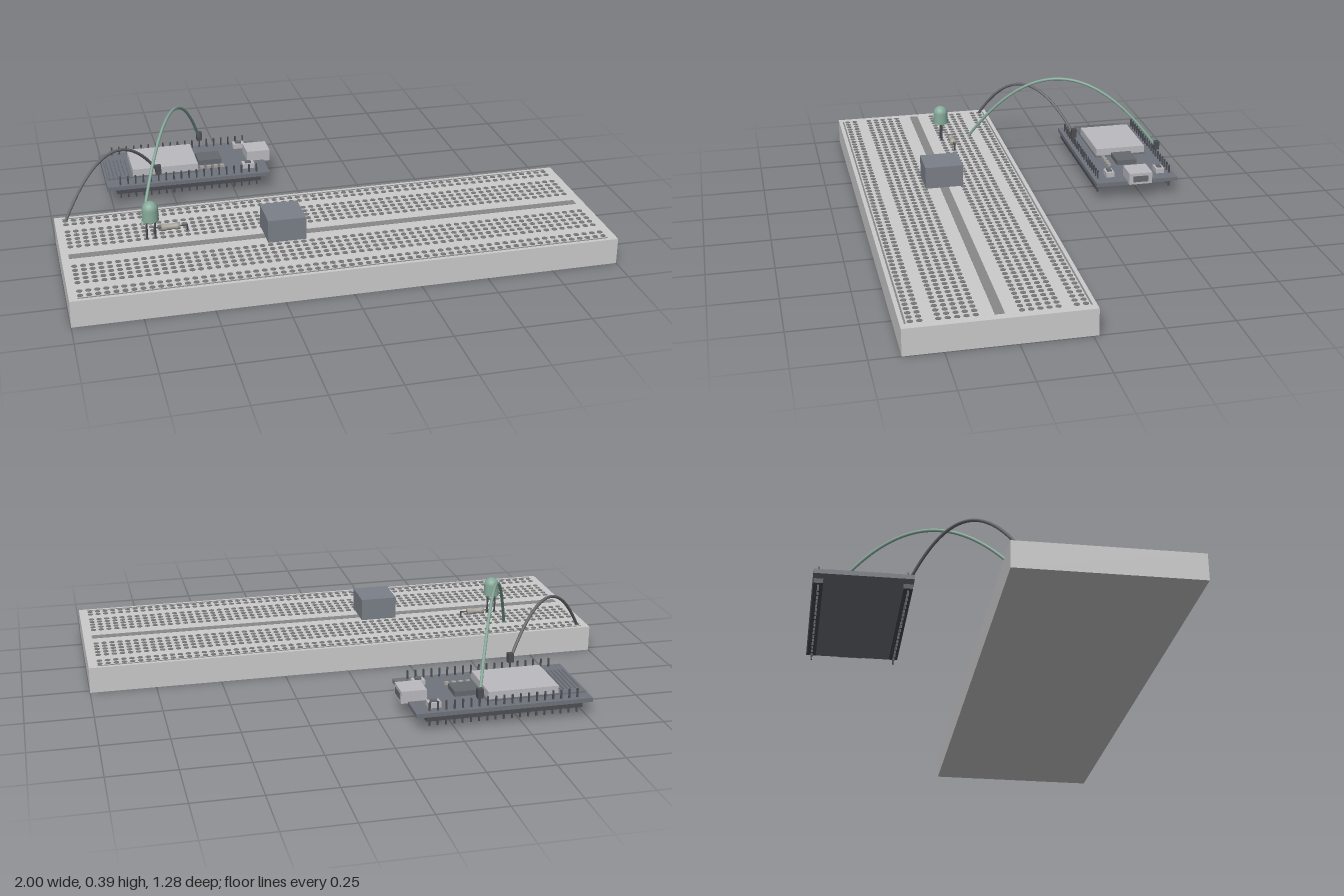
import * as THREE from 'three';
import { mergeGeometries } from 'three/addons/utils/BufferGeometryUtils.js';

const mat = (color) => new THREE.MeshStandardMaterial({ color });
const MATS = {
  body: mat(0xcccccc), hole: mat(0x777777), groove: mat(0x888888), board: mat(0x70747c),
  dark: mat(0x4c4e54), metal: mat(0xbbbbc0), chip: mat(0x666a70), box: mat(0x7b8088),
  green: mat(0x86aa9a), black: mat(0x6a6a6e), tan: mat(0xa8a49c),
};
const PITCH = 0.0309;
const TOP = 0.1; // breadboard surface
const MID = 0.31; // breadboard centre line in z
const PCB = 0.072; // controller board surface

// Box geometry from its extents
function span(x0, x1, y0, y1, z0, z1) {
  return new THREE.BoxGeometry(x1 - x0, y1 - y0, z1 - z0)
    .translate((x0 + x1) / 2, (y0 + y1) / 2, (z0 + z1) / 2);
}
// Upright round rod
function rod(r, x, y0, y1, z, sides = 8) {
  return new THREE.CylinderGeometry(r, r, y1 - y0, sides).translate(x, (y0 + y1) / 2, z);
}
function add(group, name, geos, material) {
  const list = Array.isArray(geos) ? geos : [geos];
  const mesh = new THREE.Mesh(list.length > 1 ? mergeGeometries(list) : list[0], material);
  mesh.name = name;
  group.add(mesh);
}
function part(root, name) {
  const g = new THREE.Group();
  g.name = name;
  root.add(g);
  return g;
}

function breadboard(root) {
  const g = part(root, 'breadboard');
  add(g, 'boardBody', span(-1, 1, 0, TOP, -0.02, 0.64), MATS.body);
  add(g, 'centreChannel', span(-0.973, 0.967, TOP - 0.01, TOP + 0.001, 0.292, 0.326), MATS.groove);

  // Rows of contacts, mirrored about the centre line
  const offsets = [0.077, 0.108, 0.139, 0.17, 0.201, 0.263, 0.294];
  const holes = [];
  for (const off of offsets) for (const s of [-1, 1]) for (let i = 0; i < 63; i++) {
    holes.push(rod(0.0105, -0.96 + i * PITCH, TOP - 0.002, TOP + 0.002, MID + s * off));
  }
  add(g, 'contactHoles', holes, MATS.hole);

  // Thin lines along the power rails
  const stripes = [];
  for (const s of [-1, 1]) {
    const z = MID + s * 0.312;
    stripes.push(span(-0.97, 0.967, TOP - 0.002, TOP + 0.001, z - 0.003, z + 0.003));
  }
  add(g, 'railStripes', stripes, MATS.groove);
}

function controller(root) {
  const g = part(root, 'controllerBoard');
  add(g, 'circuitBoard', span(-0.767, -0.104, 0.056, PCB, -0.645, -0.306), MATS.board);

  // Pin headers on both long edges
  const strips = [], pins = [], pads = [];
  for (const z of [-0.626, -0.324]) {
    strips.push(span(-0.729, -0.141, 0.039, 0.056, z - 0.016, z + 0.016));
    for (let i = -9; i <= 9; i++) {
      const x = -0.435 + i * PITCH;
      pins.push(span(x - 0.003, x + 0.003, 0.015, 0.107, z - 0.003, z + 0.003));
      pads.push(rod(0.007, x, PCB, PCB + 0.001, z));
    }
  }
  add(g, 'headerStrips', strips, MATS.dark);
  add(g, 'headerPins', pins, MATS.dark);
  add(g, 'solderPads', pads, MATS.board);

  // Radio module with shield can and antenna traces
  add(g, 'moduleBase', span(-0.757, -0.382, PCB, 0.078, -0.592, -0.376), MATS.board);
  add(g, 'shieldCan', span(-0.655, -0.388, 0.078, 0.107, -0.588, -0.38), MATS.metal);
  const traces = [];
  for (let i = 0; i < 6; i++) {
    const x = -0.748 + i * 0.0155;
    traces.push(span(x - 0.002, x + 0.002, 0.078, 0.08, -0.555, -0.378));
  }
  add(g, 'antennaTraces', traces, MATS.chip);

  add(g, 'chip', span(-0.377, -0.28, PCB, 0.092, -0.524, -0.44), MATS.chip);
  const small = [];
  for (let i = 0; i < 4; i++) {
    const x = -0.368 + i * 0.028;
    small.push(span(x - 0.008, x + 0.008, PCB, 0.082, -0.412, -0.399));
  }
  add(g, 'smallComponents', small, MATS.tan);

  // Connector with its recessed mouth
  add(g, 'usbSocket', span(-0.174, -0.078, 0.066, 0.113, -0.53, -0.435), MATS.metal);
  add(g, 'usbOpening', span(-0.08, -0.076, 0.076, 0.101, -0.513, -0.452), MATS.chip);

  for (const z of [-0.588, -0.378]) {
    add(g, 'buttonBase', span(-0.206, -0.158, PCB, 0.092, z - 0.017, z + 0.017), MATS.metal);
    add(g, 'buttonCap', span(-0.194, -0.17, 0.092, 0.098, z - 0.009, z + 0.009), MATS.chip);
  }
}

function lamp(root) {
  const g = part(root, 'lamp');
  const x = -0.665, z = 0.235;
  const profile = [new THREE.Vector2(0, 0.177), new THREE.Vector2(0.031, 0.177), new THREE.Vector2(0.031, 0.177)];
  for (let i = 0; i <= 8; i++) {
    const a = (i / 8) * Math.PI / 2;
    profile.push(new THREE.Vector2(0.03 * Math.cos(a), 0.22 + 0.031 * Math.sin(a)));
  }
  add(g, 'lampDome', new THREE.LatheGeometry(profile, 24).translate(x, 0, z), MATS.green);
  add(g, 'lampLegs', [-1, 1].map((s) => rod(0.004, x + s * PITCH / 2, 0.09, 0.18, z)), MATS.dark);
}

function resistor(root) {
  const g = part(root, 'resistor');
  const x = -0.587, y = 0.124, z = 0.2;
  // Dog-bone body lying along x
  const pts = [[0, -0.036], [0.013, -0.034], [0.014, -0.02], [0.011, -0.014],
    [0.011, 0.014], [0.014, 0.02], [0.013, 0.034], [0, 0.036]].map((p) => new THREE.Vector2(...p));
  add(g, 'resistorBody', new THREE.LatheGeometry(pts, 16).rotateZ(-Math.PI / 2).translate(x, y, z), MATS.tan);
  const leads = [new THREE.CylinderGeometry(0.003, 0.003, 4 * PITCH, 8).rotateZ(Math.PI / 2).translate(x, y, z)];
  for (const s of [-1, 1]) leads.push(rod(0.003, x + s * 2 * PITCH, 0.09, y + 0.003, z));
  add(g, 'resistorLeads', leads, MATS.dark);
}

function sensorBox(root) {
  const g = part(root, 'squareModule');
  add(g, 'moduleBox', span(-0.258, -0.116, 0.108, 0.195, 0.237, 0.385), MATS.box);
  const legs = [];
  for (const x of [-0.218, -0.156]) for (const z of [0.265, 0.357]) legs.push(rod(0.004, x, 0.09, 0.11, z));
  add(g, 'moduleLegs', legs, MATS.dark);
}

// Arched wire ending in a plug on a header pin
function jumper(root, name, from, to, peak, material) {
  const g = part(root, name);
  const a = new THREE.Vector3(...from), b = new THREE.Vector3(...to);
  const c = a.clone().add(b).multiplyScalar(0.5);
  c.y = 2 * peak - (a.y + b.y) / 2;
  const curve = new THREE.QuadraticBezierCurve3(a, c, b);
  add(g, 'wire', new THREE.TubeGeometry(curve, 48, 0.006, 8), material);
  add(g, 'plug', span(b.x - 0.011, b.x + 0.011, 0.106, 0.141, b.z - 0.011, b.z + 0.011), MATS.dark);
}

export function createModel() {
  const root = new THREE.Group();
  root.name = 'breadboardCircuit';
  breadboard(root);
  controller(root);
  lamp(root);
  resistor(root);
  sensorBox(root);
  jumper(root, 'shortJumperWire', [-0.96, 0.098, 0.017], [-0.559, 0.115, -0.324], 0.288, MATS.black);
  jumper(root, 'longJumperWire', [-0.682, 0.098, 0.115], [-0.342, 0.115, -0.626], 0.387, MATS.green);
  return root;
}
